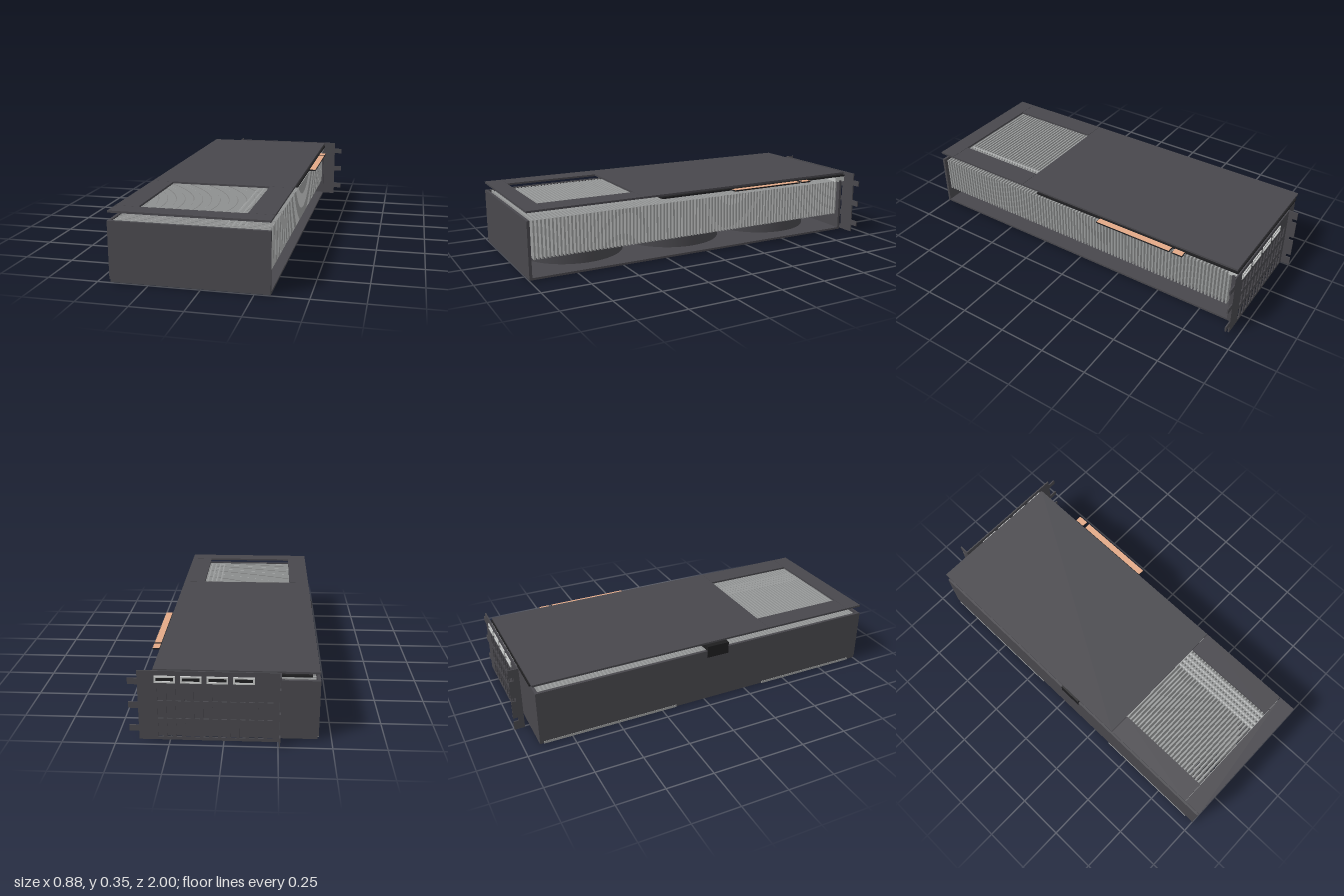
import * as THREE from 'three';

const mat = (name, color, side = THREE.FrontSide) => {
  const m = new THREE.MeshStandardMaterial({ color, side });
  m.name = name;
  return m;
};

export function createModel() {
  const root = new THREE.Group();
  root.name = 'graphicsCard';
  const shell = mat('charcoal shell', 0x48474c);
  const fanMat = mat('fan black', 0x303033, THREE.DoubleSide);
  const finMat = mat('fin grey', 0x9a9c9c);
  const board = mat('board black', 0x1e1e20);
  const steel = mat('light steel', 0xc4c6c5);
  const copper = mat('copper', 0xe2a987);

  const add = (name, geo, material, parent = root) => {
    const mesh = new THREE.Mesh(geo, material);
    mesh.name = name;
    parent.add(mesh);
    return mesh;
  };
  // box given by its minimum and maximum corners
  const box = (name, material, [x0, x1], [y0, y1], [z0, z1], parent = root) => {
    const m = add(name, new THREE.BoxGeometry(x1 - x0, y1 - y0, z1 - z0), material, parent);
    m.position.set((x0 + x1) / 2, (y0 + y1) / 2, (z0 + z1) / 2);
    return m;
  };
  const group = (name) => {
    const g = new THREE.Group();
    g.name = name;
    root.add(g);
    return g;
  };
  const rectHole = (shape, x0, x1, y0, y1) => {
    const h = new THREE.Path();
    h.moveTo(x0, y0).lineTo(x0, y1).lineTo(x1, y1).lineTo(x1, y0).closePath();
    shape.holes.push(h);
  };

  // shroud: bottom plate with three fan openings
  const fanX = -0.06, fanZ = [0.65, 0.045, -0.565], fanR = 0.287;
  const X0 = -0.435, X1 = 0.325, Z0 = -0.92, Z1 = 1;
  const plate = new THREE.Shape();
  plate.moveTo(X0, Z0).lineTo(X1, Z0).lineTo(X1, Z1).lineTo(X0, Z1).closePath();
  for (const z of fanZ) {
    const hole = new THREE.Path();
    hole.absarc(fanX, z, fanR, 0, Math.PI * 2, true);
    plate.holes.push(hole);
  }
  const plateGeo = new THREE.ExtrudeGeometry(plate, { depth: 0.011, bevelEnabled: false, curveSegments: 48 });
  plateGeo.rotateX(Math.PI / 2).translate(0, 0.014, 0);
  add('shroudBottom', plateGeo, shell);
  // quarter-round pads under the four corners
  const padGeo = new THREE.CylinderGeometry(0.06, 0.06, 0.002, 10, 1, false, 0, Math.PI / 2);
  [[X0, Z0, 0], [X0, Z1, 1], [X1, Z1, 2], [X1, Z0, 3]].forEach(([x, z, turn]) => {
    const pad = add('cornerPad', padGeo, finMat);
    pad.position.set(x, 0.002, z);
    pad.rotation.y = turn * Math.PI / 2;
  });
  box('shroudFront', shell, [X0, X1], [0.01, 0.3], [0.985, Z1]);
  box('shroudBack', shell, [X0, X1], [0.01, 0.3], [Z0, -0.905]);
  box('shroudSide', shell, [-0.44, -0.425], [0.017, 0.3], [Z0, Z1]);
  for (const z of [[-0.9, -0.17], [0.36, 0.95]]) {
    box('sideRail', finMat, [-0.442, -0.43], [0.004, 0.017], z);
  }

  // heatsink fins and heat pipes
  const fins = group('heatsinkFins');
  const count = 96, zStart = -0.885, zEnd = 0.965;
  for (let i = 0; i < count; i++) {
    const z = zStart + (zEnd - zStart) * i / (count - 1);
    box('fin', finMat, [-0.42, 0.317], [0.1, 0.298], [z - 0.0045, z + 0.0045], fins);
  }
  for (const x of [0.112, 0.14, 0.168, 0.196]) {
    const pipe = add('heatPipe', new THREE.CylinderGeometry(0.011, 0.011, 1.82, 12), finMat);
    pipe.rotation.x = Math.PI / 2;
    pipe.position.set(x, 0.288, 0.04);
  }

  // fans: duct ring, hub and swept blades
  const blades = 11;
  const bladeGeo = new THREE.PlaneGeometry(1, 1, 4, 10);
  const p = bladeGeo.attributes.position;
  for (let i = 0; i < p.count; i++) {
    const u = p.getX(i), t = p.getY(i) + 0.5;
    const r = 0.072 + 0.196 * t;
    const a = 0.5 * t * t + u * 0.5;
    p.setXYZ(i, r * Math.cos(a), 0.05 - u * (0.075 - 0.015 * t), r * Math.sin(a));
  }
  bladeGeo.computeVertexNormals();
  const ring = [[0.273, 0.002], [0.289, 0.002], [0.289, 0.1], [0.273, 0.1], [0.273, 0.002]]
    .map(([x, y]) => new THREE.Vector2(x, y));
  for (const z of fanZ) {
    const fan = group('fan');
    fan.position.set(fanX, 0, z);
    // each straight run of the ring is lathed alone to keep its edges sharp
    for (let i = 0; i < 4; i++) {
      add('fanDuct', new THREE.LatheGeometry([ring[i], ring[i + 1]], 56), i === 0 ? finMat : shell, fan);
    }
    add('fanHub', new THREE.CylinderGeometry(0.084, 0.084, 0.08, 40), fanMat, fan).position.y = 0.05;
    for (let i = 0; i < blades; i++) {
      add('fanBlade', bladeGeo, fanMat, fan).rotation.y = i * Math.PI * 2 / blades;
    }
  }

  // backplate panels around the airflow window
  const by = [0.339, 0.349];
  box('backplateMain', shell, [X0, X1], by, [-0.93, 0.384]);
  box('backplateFront', shell, [X0, X1], by, [0.907, Z1]);
  box('backplateLeftStrip', shell, [0.2, X1], by, [0.386, 0.905]);
  box('backplateRightStrip', shell, [X0, -0.32], by, [0.386, 0.905]);

  // circuit board with edge connector, contacts plated on both faces
  box('circuitBoard', board, [-0.4, 0.33], [0.325, 0.334], [-0.935, 0.28]);
  const edge = group('edgeConnector');
  for (const z of [[-0.65, -0.592], [-0.577, -0.14]]) {
    box('connectorTongue', board, [0.33, 0.368], [0.326, 0.333], z, edge);
    for (const y of [[0.3252, 0.326], [0.333, 0.3338]]) {
      box('contactStrip', copper, [0.334, 0.367], y, [z[0] + 0.002, z[1] - 0.002], edge);
    }
  }
  box('coldPlate', copper, [-0.275, 0.14], [0.298, 0.325], [-0.63, -0.16]);
  box('boardChip', steel, [0.24, 0.3], [0.315, 0.325], [-0.1, -0.07]);
  box('powerSocket', board, [-0.442, -0.33], [0.26, 0.325], [0.01, 0.135]);

  // rear bracket with vent slots and port openings
  const ports = [-0.14, -0.02, 0.1, 0.22], portW = 0.097;
  const br = new THREE.Shape();
  br.moveTo(-0.26, 0).lineTo(0.395, 0).lineTo(0.395, 0.35).lineTo(-0.26, 0.35).closePath();
  for (const x of ports) rectHole(br, x, x + portW, 0.292, 0.327);
  for (const [y0, y1] of [[0.015, 0.085], [0.11, 0.175], [0.2, 0.262]]) {
    for (let i = 0; i < 13; i++) {
      const x = -0.225 + i * 0.042;
      rectHole(br, x, x + 0.026, y0, y1);
    }
  }
  const brGeo = new THREE.ExtrudeGeometry(br, { depth: 0.007, bevelEnabled: false });
  add('bracket', brGeo.translate(0, 0, -0.952), shell);

  // display ports: steel shell with a dark mouth inside
  for (const x of ports) {
    const s = new THREE.Shape();
    s.moveTo(x, 0.292).lineTo(x + portW, 0.292).lineTo(x + portW, 0.325).lineTo(x, 0.325).closePath();
    rectHole(s, x + 0.008, x + portW - 0.008, 0.299, 0.318);
    const g = new THREE.ExtrudeGeometry(s, { depth: 0.07, bevelEnabled: false });
    add('displayPort', g.translate(0, 0, -0.957), steel);
    box('portMouth', board, [x + 0.008, x + portW - 0.008], [0.299, 0.318], [-0.95, -0.89]);
    box('portBack', steel, [x, x + portW], [0.292, 0.325], [-0.887, -0.88]);
  }

  // bracket tabs on one edge, notched lip on the other
  for (const y of [0.057, 0.176, 0.296]) {
    box('bracketTab', shell, [0.39, 0.44], [y - 0.015, y + 0.015], [-0.952, -0.945]);
  }
  box('bracketLip', shell, [-0.26, -0.254], [0, 0.35], [-0.975, -0.95]);
  for (const y of [[0, 0.048], [0.068, 0.167], [0.187, 0.286], [0.306, 0.35]]) {
    box('lipTooth', shell, [-0.26, -0.254], y, [-1, -0.975]);
  }
  return root;
}
